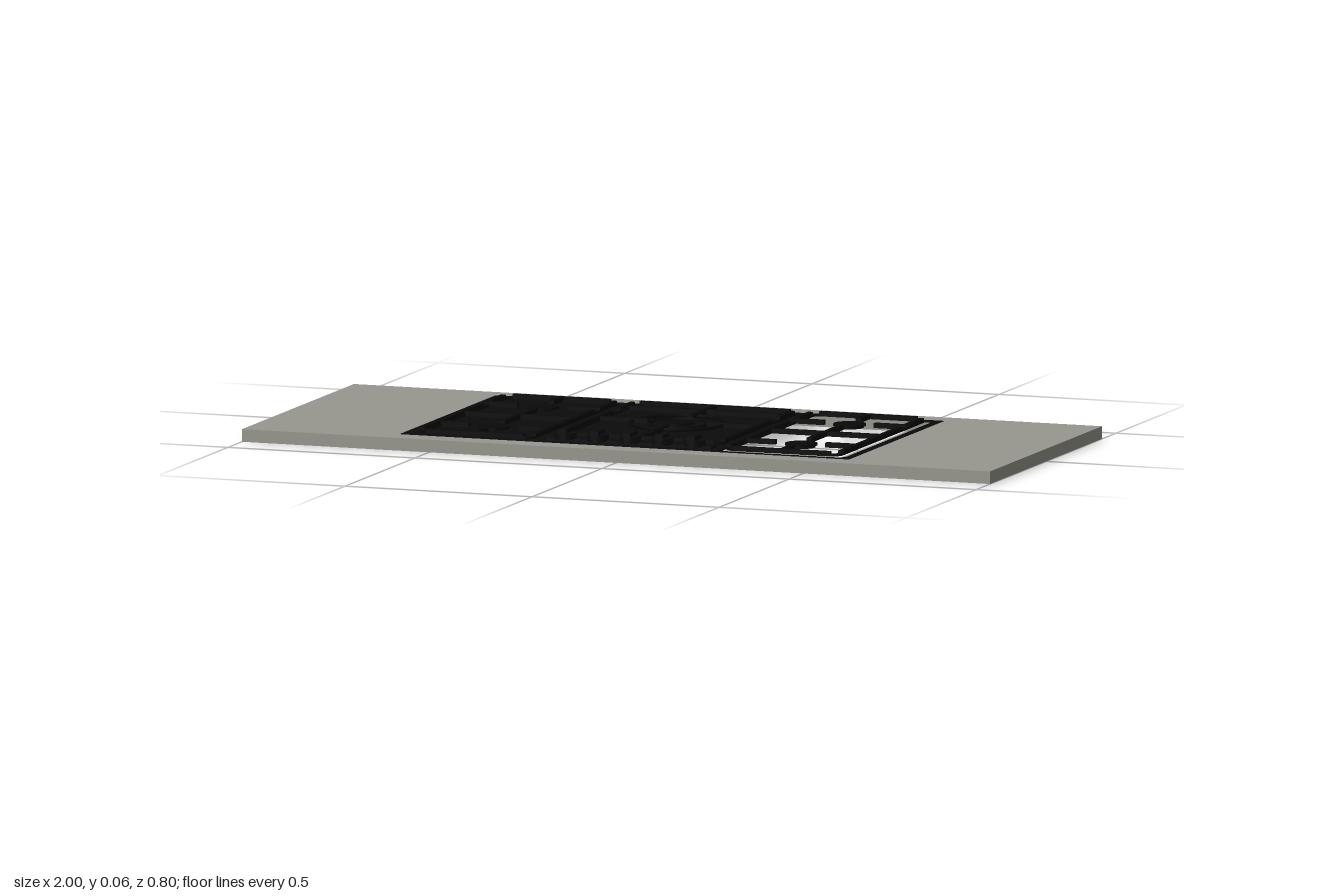
import * as THREE from 'three';

const stone = new THREE.MeshStandardMaterial({ color: 0x99988f });
stone.name = 'stone grey';
const black = new THREE.MeshStandardMaterial({ color: 0x0b0b0b });
black.name = 'enamel black';
const iron = new THREE.MeshStandardMaterial({ color: 0x080808 });
iron.name = 'cast iron black';

// Rounded rectangle in plan; shape y maps to -z
function roundRect(target, x0, x1, z0, z1, r) {
  const a = -z1, b = -z0;
  target.moveTo(x0 + r, a);
  target.lineTo(x1 - r, a);
  if (r) target.quadraticCurveTo(x1, a, x1, a + r);
  target.lineTo(x1, b - r);
  if (r) target.quadraticCurveTo(x1, b, x1 - r, b);
  target.lineTo(x0 + r, b);
  if (r) target.quadraticCurveTo(x0, b, x0, b - r);
  target.lineTo(x0, a + r);
  if (r) target.quadraticCurveTo(x0, a, x0 + r, a);
  target.closePath();
  return target;
}

// Flat slab with rectangular openings, lying between y0 and y1
function slab(parent, name, material, outer, holes, y0, y1) {
  const shape = roundRect(new THREE.Shape(), ...outer);
  holes.forEach((h) => shape.holes.push(roundRect(new THREE.Path(), ...h)));
  const geometry = new THREE.ExtrudeGeometry(shape, { depth: y1 - y0, bevelEnabled: false, curveSegments: 5 });
  geometry.rotateX(-Math.PI / 2);
  const mesh = new THREE.Mesh(geometry, material);
  mesh.position.y = y0;
  mesh.name = name;
  parent.add(mesh);
  return mesh;
}

function box(parent, name, material, x0, x1, y0, y1, z0, z1) {
  const mesh = new THREE.Mesh(new THREE.BoxGeometry(x1 - x0, y1 - y0, z1 - z0), material);
  mesh.position.set((x0 + x1) / 2, (y0 + y1) / 2, (z0 + z1) / 2);
  mesh.name = name;
  parent.add(mesh);
  return mesh;
}

function disc(parent, name, material, r, x, y0, y1, z) {
  const mesh = new THREE.Mesh(new THREE.CylinderGeometry(r, r, y1 - y0, 32), material);
  mesh.position.set(x, (y0 + y1) / 2, z);
  mesh.name = name;
  parent.add(mesh);
  return mesh;
}

function ring(parent, name, r, tube, x, y, z) {
  const mesh = new THREE.Mesh(new THREE.TorusGeometry(r, tube, 6, 36), iron);
  mesh.rotation.x = Math.PI / 2;
  mesh.position.set(x, y, z);
  mesh.name = name;
  parent.add(mesh);
}

const LOW = 0.033, MID = 0.038, TOP = 0.045, W = 0.007;

// Two-burner grate with its burners, centred on x = cx
function sideStation(cx, name) {
  const g = new THREE.Group();
  g.name = name;
  const x0 = cx - 0.155, x1 = cx + 0.155;
  slab(g, 'grateFrame', iron, [x0, x1, -0.315, 0.315, 0.03],
    [[x0 + 0.015, x1 - 0.015, -0.3, 0.3, 0.02]], LOW, MID);
  // Raised rails, open beside the rear burner
  [x0, x1 - 0.013].forEach((x) => {
    box(g, 'sideRail', iron, x, x + 0.013, MID, TOP, -0.13, 0.29);
    box(g, 'sideRail', iron, x, x + 0.013, MID, TOP, -0.29, -0.185);
  });
  [-0.315, 0.302].forEach((z) => box(g, 'endRail', iron, x0 + 0.025, x1 - 0.025, MID, TOP, z, z + 0.013));
  box(g, 'crossBar', iron, x0, x1, LOW, TOP, -W, W);
  box(g, 'centreBar', iron, cx - W, cx + W, LOW, TOP, -0.115, 0.115);
  [-1, 1].forEach((s) => {
    const z = s * 0.173;
    const ends = [s * 0.235, s * 0.31];
    box(g, 'endFinger', iron, cx - W, cx + W, LOW, TOP, Math.min(...ends), Math.max(...ends));
    box(g, 'sideFinger', iron, x0, cx - 0.067, LOW, TOP, z - W, z + W);
    box(g, 'sideFinger', iron, cx + 0.067, x1, LOW, TOP, z - W, z + W);
    disc(g, 'burnerBase', black, 0.036, cx, 0.03, 0.035, z);
    disc(g, 'burnerCap', iron, 0.041, cx, 0.035, 0.04, z);
  });
  return g;
}

// Large multi-ring burner with its square grate
function centreStation() {
  const g = new THREE.Group();
  g.name = 'centreStation';
  const cz = -0.045;
  slab(g, 'grateFrame', iron, [-0.22, 0.22, -0.315, 0.235, 0.03],
    [[-0.205, 0.205, -0.3, 0.22, 0.02]], LOW, MID);
  [-0.22, 0.207].forEach((x) => {
    box(g, 'sideRail', iron, x, x + 0.013, MID, TOP, -0.13, 0.21);
    box(g, 'sideRail', iron, x, x + 0.013, MID, TOP, -0.29, -0.185);
  });
  [-0.315, -0.24, 0.222].forEach((z) => box(g, 'crossRail', iron, -0.2, 0.2, LOW, TOP, z, z + 0.013));
  [-1, 1].forEach((s) => {
    box(g, 'sideFinger', iron, s > 0 ? 0.08 : -0.22, s > 0 ? 0.22 : -0.08, LOW, TOP, cz - W, cz + W);
    box(g, 'endFinger', iron, -W, W, LOW, TOP, s > 0 ? 0.04 : -0.315, s > 0 ? 0.235 : -0.13);
  });
  ring(g, 'outerRing', 0.12, 0.005, 0, 0.038, cz);
  ring(g, 'middleRing', 0.075, 0.005, 0, 0.036, cz);
  disc(g, 'burnerBase', black, 0.068, 0, 0.031, 0.036, cz);
  disc(g, 'burnerCap', iron, 0.04, 0, 0.036, 0.041, cz);
  return g;
}

export function createModel() {
  const model = new THREE.Group();
  model.name = 'countertopWithCooktop';

  // Worktop with cut-out
  slab(model, 'countertop', stone, [-1, 1, -0.4, 0.4, 0], [[-0.6, 0.6, -0.34, 0.34, 0]], 0, 0.032);

  // Hob plate, open under the left grate
  slab(model, 'hobPlate', black, [-0.6, 0.6, -0.34, 0.34, 0],
    [[0.245, 0.579, -0.325, 0.322, 0.025]], 0.029, 0.0328);

  model.add(sideStation(0.41, 'leftStation'), sideStation(-0.41, 'rightStation'), centreStation());

  // Control panel and knobs
  box(model, 'controlPanel', black, -0.22, 0.22, 0.032, 0.04, 0.265, 0.31);
  for (let i = -2; i <= 2; i++) {
    const knob = new THREE.Group();
    knob.name = 'knob';
    disc(knob, 'knobBase', black, 0.027, 0, 0.037, 0.054, 0);
    box(knob, 'knobGrip', black, -0.01, 0.01, 0.05, 0.065, -0.026, 0.026);
    knob.position.set(i * 0.086, 0, 0.299);
    model.add(knob);
  }
  return model;
}
